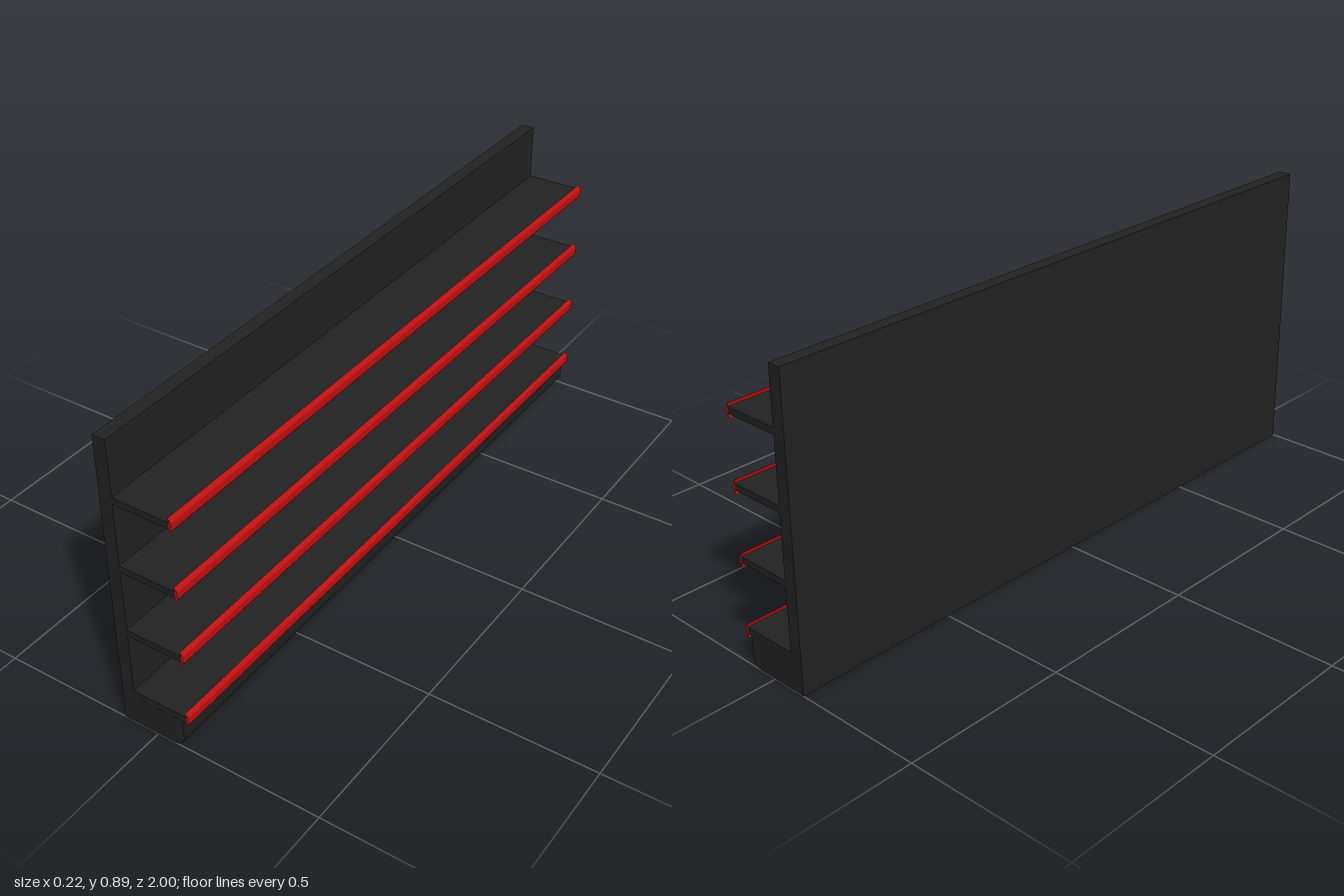
import * as THREE from 'three';
import { toCreasedNormals } from 'three/addons/utils/BufferGeometryUtils.js';

const LENGTH = 2;

// Sweep an x/y cross-section along the full length of the unit
function sweep(shape, material, name) {
  const geometry = new THREE.ExtrudeGeometry(shape, {
    depth: LENGTH, bevelEnabled: false, curveSegments: 10,
  });
  geometry.translate(0, 0, -LENGTH / 2);
  const mesh = new THREE.Mesh(toCreasedNormals(geometry, 0.6), material);
  mesh.name = name;
  return mesh;
}

function board(x0, x1, y0, y1, material, name) {
  const mesh = new THREE.Mesh(new THREE.BoxGeometry(x1 - x0, y1 - y0, LENGTH), material);
  mesh.position.set((x0 + x1) / 2, (y0 + y1) / 2, 0);
  mesh.name = name;
  return mesh;
}

export function createModel() {
  const group = new THREE.Group();
  group.name = 'wallShelving';
  const dark = new THREE.MeshStandardMaterial({ color: 0x222222 });
  const red = new THREE.MeshStandardMaterial({ color: 0xc41010 });

  // Upright back panel
  group.add(board(-0.109, -0.07, 0, 0.893, dark, 'backPanel'));

  // Plinth with a rounded lower front edge
  const plinth = new THREE.Shape();
  plinth.moveTo(-0.07, 0);
  plinth.lineTo(0.052, 0);
  plinth.absarc(0.052, 0.035, 0.035, -Math.PI / 2, 0, false);
  plinth.lineTo(0.087, 0.092);
  plinth.lineTo(-0.07, 0.092);
  plinth.closePath();
  group.add(sweep(plinth, dark, 'plinth'));

  // Curved price rail section, centred on its shelf's height
  const rail = new THREE.Shape();
  rail.moveTo(0.097, -0.021);
  rail.quadraticCurveTo(0.107, -0.016, 0.107, -0.008);
  rail.lineTo(0.107, 0.008);
  rail.quadraticCurveTo(0.107, 0.016, 0.097, 0.021);
  rail.quadraticCurveTo(0.101, 0.014, 0.1, 0.009);
  rail.lineTo(0.1, -0.009);
  rail.quadraticCurveTo(0.101, -0.014, 0.097, -0.021);

  // Four shelves, each with a rail along the front
  for (const y of [0.102, 0.308, 0.513, 0.719]) {
    const shelf = new THREE.Group();
    shelf.name = 'shelf';
    shelf.position.y = y;
    shelf.add(board(-0.07, 0.1, -0.0097, 0.0097, dark, 'shelfBoard'));
    shelf.add(sweep(rail, red, 'frontRail'));
    group.add(shelf);
  }
  return group;
}
